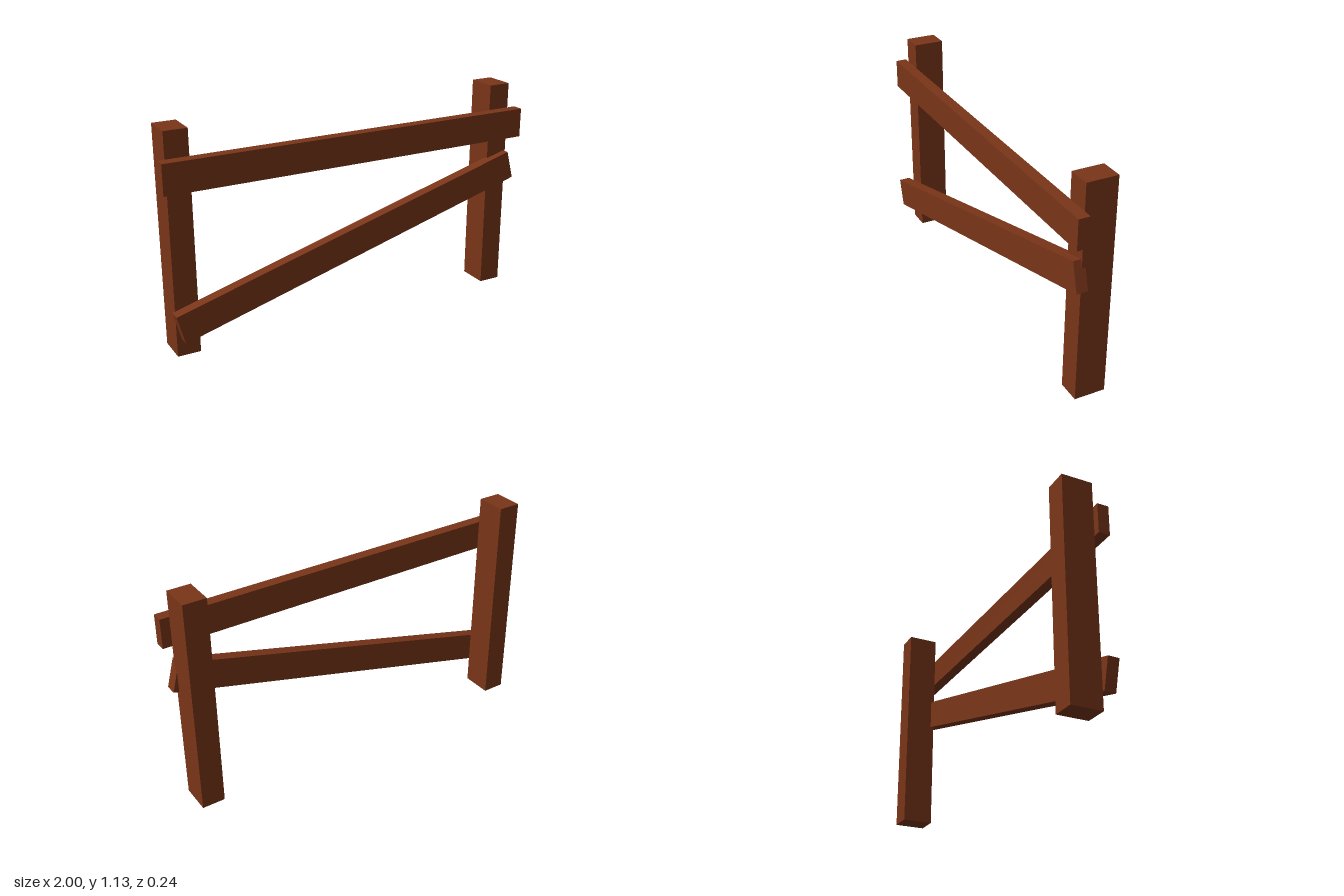
import * as THREE from 'three';

export function createModel() {
  const group = new THREE.Group();
  const wood = new THREE.MeshStandardMaterial({ color: 0x7a3518, flatShading: true });

  function beam(name, size, position) {
    const mesh = new THREE.Mesh(new THREE.BoxGeometry(...size), wood);
    mesh.name = name;
    mesh.position.set(...position);
    group.add(mesh);
    return mesh;
  }

  // Upright posts
  beam('rightPost', [0.118, 1.132, 0.159], [-0.906, 0.566, -0.039]);
  beam('leftPost', [0.118, 1.132, 0.159], [0.894, 0.566, -0.039]);

  // Level top rail on the front of the posts
  beam('topRail', [2, 0.153, 0.058], [0, 0.923, 0.07]);

  // Fallen lower rail, sloping down and leaning forward at the right post
  const fallen = beam('fallenRail', [1.995, 0.153, 0.058], [-0.002, 0.431, 0.07]);
  fallen.rotation.set(0, 0.021, 0.259);

  return group;
}
